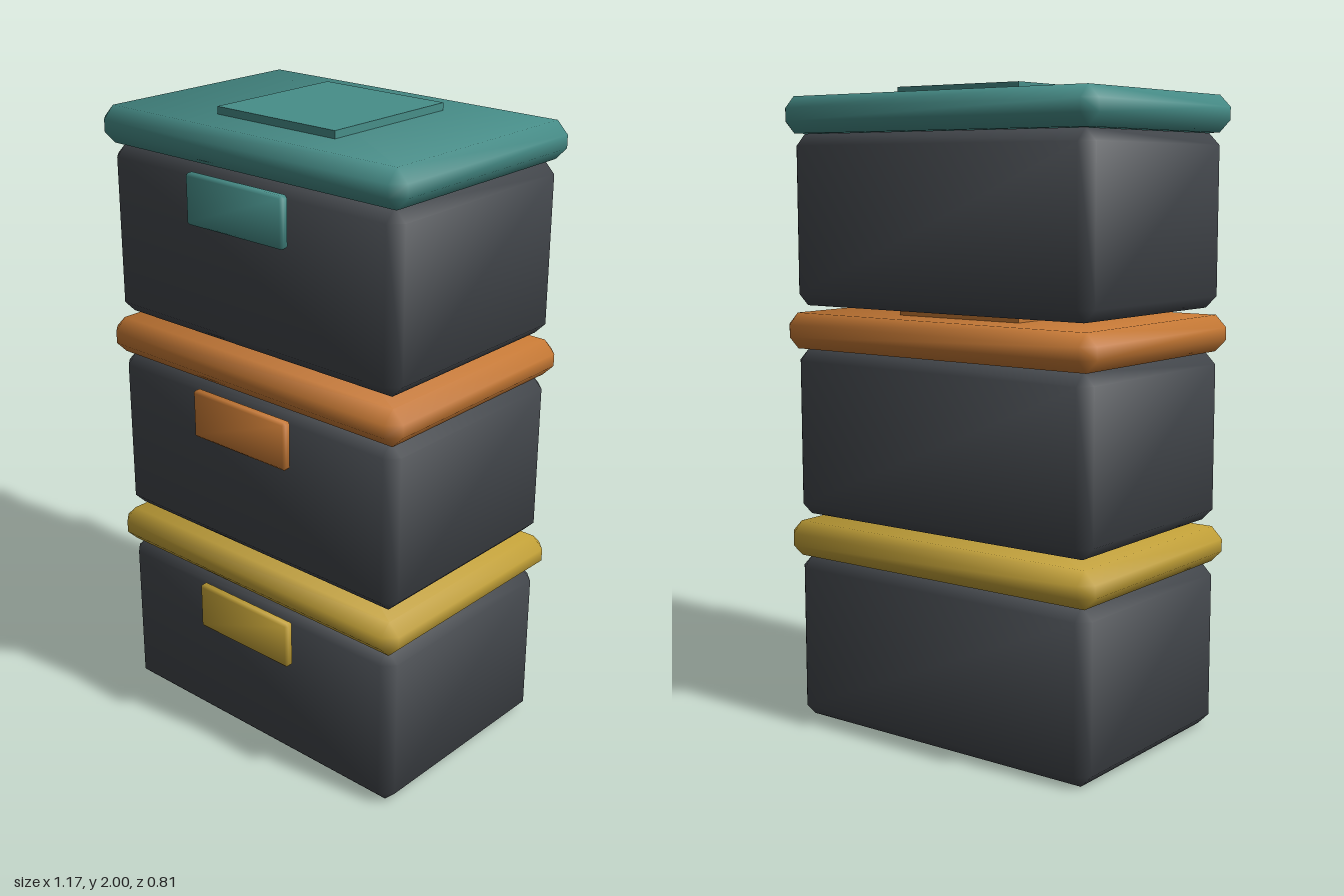
import * as THREE from 'three';
import { ConvexGeometry } from 'three/addons/geometries/ConvexGeometry.js';

const mat = (name, color) => {
  const m = new THREE.MeshStandardMaterial({ color });
  m.name = name;
  return m;
};

// Box with single-step chamfers and softly blended normals.
function chamferBox(w, h, d, c) {
  const half = [w / 2, h / 2, d / 2];
  const points = [];
  for (const sx of [-1, 1]) for (const sy of [-1, 1]) for (const sz of [-1, 1]) {
    for (let axis = 0; axis < 3; axis++) {
      const p = half.map((v, i) => (i === axis ? v : v - c));
      points.push(new THREE.Vector3(p[0] * sx, p[1] * sy, p[2] * sz));
    }
  }
  const geo = new ConvexGeometry(points);
  const pos = geo.attributes.position, normal = geo.attributes.normal;
  for (let i = 0; i < pos.count; i++) {
    // Each corner normal leans outward from the face it belongs to.
    const n = [pos.getX(i), pos.getY(i), pos.getZ(i)].map((v, k) =>
      Math.sign(v) * (Math.abs(v) > half[k] - c * 0.5 ? 0.87 : 0.35));
    normal.setXYZ(i, ...new THREE.Vector3(...n).normalize().toArray());
  }
  return geo;
}

export function createModel() {
  const model = new THREE.Group();
  model.name = 'stackedStorageBoxes';
  const charcoal = mat('charcoal', 0x43474c);
  const accents = [mat('mustard', 0xc4a238), mat('orange', 0xc87a35), mat('teal', 0x478e89)];

  const tierHeight = 2 / 3, zMid = -0.009;
  const bodyGeo = chamferBox(1.12, 0.53, 0.742, 0.037);
  const lidGeo = chamferBox(1.166, 0.113, 0.788, 0.037);
  const latchGeo = chamferBox(0.378, 0.152, 0.031, 0.008);
  const padGeo = new THREE.BoxGeometry(0.454, 0.04, 0.474);

  accents.forEach((accent, i) => {
    const tier = new THREE.Group();
    tier.name = 'box' + (i + 1);
    tier.position.y = i * tierHeight;
    const add = (name, geo, material, y, z) => {
      const mesh = new THREE.Mesh(geo, material);
      mesh.name = name;
      mesh.position.set(0, y, z);
      tier.add(mesh);
    };
    add('body', bodyGeo, charcoal, 0.265, zMid);
    add('lid', lidGeo, accent, 0.5875, zMid);
    add('lidPad', padGeo, accent, tierHeight - 0.02, zMid);
    add('latch', latchGeo, accent, 0.436, 0.3875);
    model.add(tier);
  });
  return model;
}
